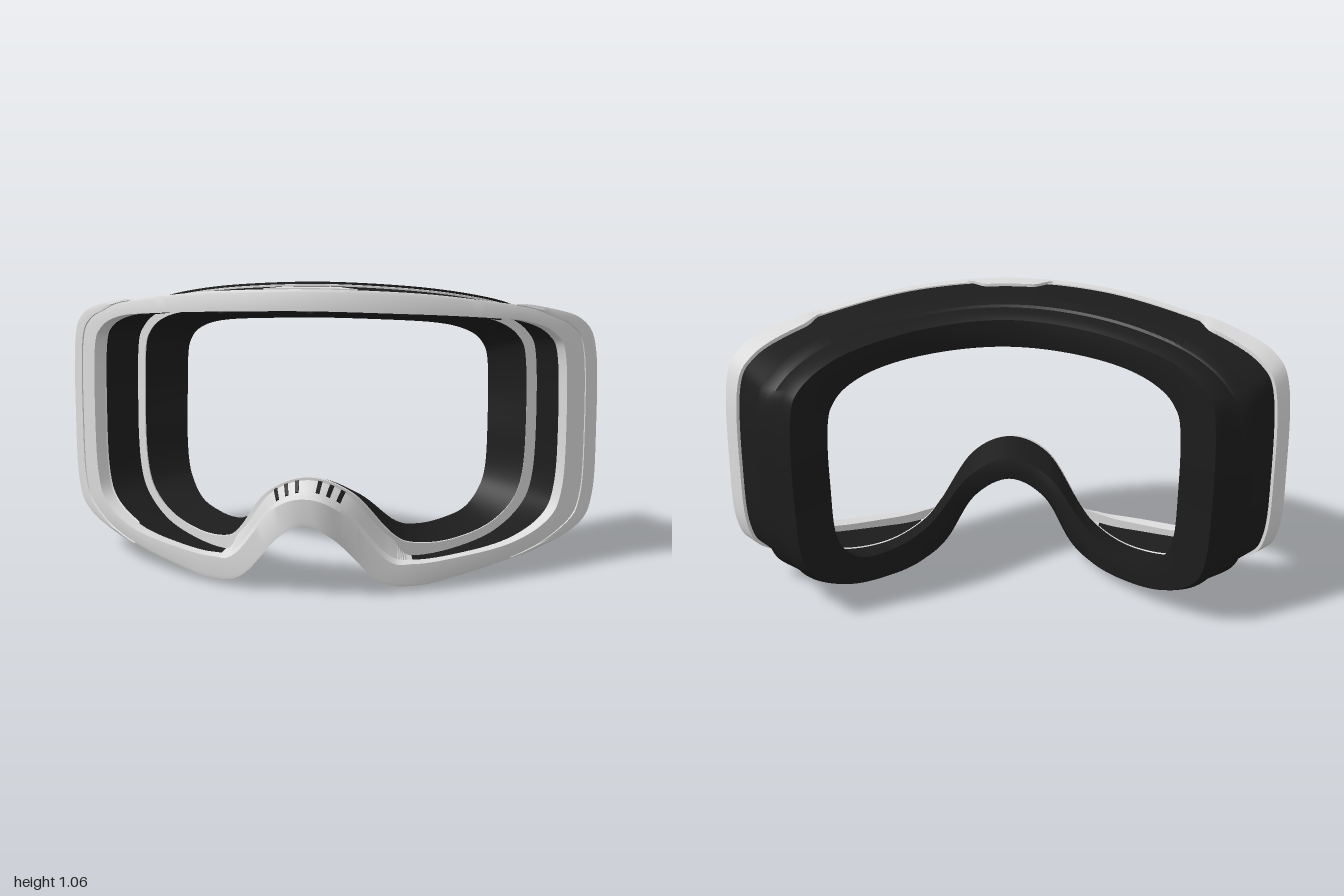
import * as THREE from 'three';
import { toCreasedNormals } from 'three/addons/utils/BufferGeometryUtils.js';

// Half outlines from top centre, down the +x side, to the nose centre
const FRONT_OUT = [[0, 1.052], [.35, 1.037], [.62, 1.0], [.8, .965], [.93, .912], [.982, .8], [.994, .5], [.987, .26],
  [.93, .155], [.74, .088], [.52, .042], [.37, .02], [.24, .05], [.095, .215], [0, .268]];
const FRONT_IN = [[0, .98], [.35, .968], [.6, .947], [.74, .925], [.835, .875], [.875, .785], [.885, .5], [.875, .3],
  [.83, .2], [.7, .135], [.5, .108], [.36, .1], [.265, .125], [.115, .31], [0, .36]];
const MID_OUT = [[0, 1.052], [.3, 1.036], [.53, 1.0], [.69, .95], [.79, .875], [.832, .78], [.842, .5], [.83, .27],
  [.78, .155], [.65, .055], [.48, .012], [.34, .006], [.24, .06], [.13, .22], [0, .28]];
const MID_IN = [[0, .967], [.3, .957], [.5, .935], [.63, .9], [.708, .84], [.738, .75], [.745, .5], [.735, .31],
  [.695, .205], [.6, .132], [.46, .105], [.34, .13], [.27, .19], [.15, .35], [0, .41]];
const BACK_OUT = [[0, 1.015], [.27, 1.0], [.47, .973], [.58, .942], [.665, .88], [.695, .785], [.702, .5], [.692, .27],
  [.65, .16], [.55, .08], [.42, .045], [.33, .045], [.25, .08], [.15, .22], [0, .29]];
const BACK_IN = [[0, .915], [.25, .905], [.42, .885], [.52, .85], [.573, .8], [.595, .72], [.6, .5], [.595, .32],
  [.57, .23], [.515, .165], [.43, .145], [.35, .15], [.275, .185], [.155, .31], [0, .372]];
const SEG = 28, NOSE = 14;

// Curved planes that the outlines lie on; each bulges forward at the nose
const FRONT = { c: .375, k: .53, n: .105, w: .145, p: 3 };
const MID = { c: .08, k: .6, n: .28, w: .33, p: 4 };
const BACK = { c: -.07, k: .83, n: .27, w: .33, p: 4 };

const mix = (a, b, t) => a.map((p, i) => [p[0] + (b[i][0] - p[0]) * t, p[1] + (b[i][1] - p[1]) * t]);

// A ring is a function of u (0..28) giving a point in space
function ring(half, plane, dz = 0, grow = 0) {
  const left = half.slice(1, -1).reverse().map(([x, y]) => [-x, y]);
  const pts = [...half, ...left].map(([x, y]) => new THREE.Vector3(x, y, 0));
  const curve = new THREE.CatmullRomCurve3(pts, true, 'catmullrom', .5);
  const at = u => curve.getPoint((((u % SEG) + SEG) % SEG) / SEG);
  return u => {
    const p = at(u), d = at(u + .02).sub(at(u - .02)).normalize();
    const low = 1 - THREE.MathUtils.smoothstep(p.y, .42, .65);
    const bump = plane.n * low / (1 + Math.pow(Math.abs(p.x) / plane.w, plane.p));
    const z = plane.c - plane.k * p.x * p.x + bump + dz;
    return new THREE.Vector3(p.x - d.y * grow, p.y + d.x * grow, z);
  };
}
const blend = (a, b, t) => u => a(u).lerp(b(u), t);
// Eases from ring a at both ends of a range to ring b inside it
const ease = (a, b, u0, u1, len) => u =>
  a(u).lerp(b(u), THREE.MathUtils.smoothstep(Math.min(u - u0, u1 - u), 0, len));

// Closed cross-section (outer front, outer back, inner back, inner front) swept around the outline
function loft(rings, u0 = 0, u1 = SEG, steps = 224) {
  const full = u1 - u0 === SEG, S = rings.length, cols = full ? steps : steps + 1;
  const pos = [], idx = [];
  for (let i = 0; i < cols; i++)
    for (const r of rings) pos.push(...r(u0 + (u1 - u0) * i / steps).toArray());
  for (let i = 0; i < steps; i++) {
    const j = (i + 1) % cols;
    for (let s = 0; s < S; s++) {
      const t = (s + 1) % S;
      const a = i * S + s, b = j * S + s, c = i * S + t, d = j * S + t;
      idx.push(a, b, c, b, d, c);
    }
  }
  if (!full) for (let s = 1; s < S - 1; s++) {
    const e = steps * S;
    idx.push(0, s, s + 1, e, e + s + 1, e + s);
  }
  const g = new THREE.BufferGeometry();
  g.setAttribute('position', new THREE.Float32BufferAttribute(pos, 3));
  g.setIndex(idx);
  return toCreasedNormals(g, .65);
}

export function createModel() {
  const model = new THREE.Group();
  const material = (name, color) => {
    const m = new THREE.MeshStandardMaterial({ color });
    m.name = name;
    return m;
  };
  const grey = material('light grey plastic', 0xdadada);
  const black = material('black rubber', 0x1c1c1c);
  const add = (name, geometry, mat) => {
    const mesh = new THREE.Mesh(geometry, mat);
    mesh.name = name;
    model.add(mesh);
    return mesh;
  };

  const frontOut = ring(FRONT_OUT, FRONT), frontIn = ring(FRONT_IN, FRONT);
  const frontHalf = ring(mix(FRONT_OUT, FRONT_IN, .45), FRONT);
  const midOut = ring(MID_OUT, MID, 0, -.01), midIn = ring(MID_IN, MID);

  // Lens frame, with a slightly bevelled outer edge
  add('frontFrame', loft([
    blend(frontOut, midOut, .02), blend(frontOut, midOut, .17),
    blend(frontIn, midIn, .2), frontIn, ring(mix(FRONT_OUT, FRONT_IN, .15), FRONT),
  ]), grey);

  // Raised wraps around the outer corners, fading into the frame at their ends
  const wrapOut = ring(FRONT_OUT, FRONT, -.004, .006);
  const wrapRear = ring(MID_OUT, MID, 0, .006);
  const wrap = (u0, u1) => [
    ease(frontOut, wrapOut, u0, u1, .25),
    ease(blend(frontOut, wrapRear, .15), blend(wrapOut, wrapRear, .36), u0, u1, .45),
    ease(blend(frontHalf, midIn, .12), blend(frontHalf, midIn, .36), u0, u1, .45),
    ease(ring(mix(FRONT_OUT, FRONT_IN, .05), FRONT), ring(mix(FRONT_OUT, FRONT_IN, .35), FRONT, .005), u0, u1, 1.2),
    ease(frontOut, ring(mix(FRONT_OUT, FRONT_IN, .1), FRONT, .005), u0, u1, .5),
  ];
  const mirrored = [SEG - 9.2, SEG - 2.35];
  add('leftCornerWrap', loft(wrap(2.35, 9.2), 2.35, 9.2, 70), grey);
  add('rightCornerWrap', loft(wrap(...mirrored), ...mirrored, 70), grey);

  // Small tab at the top centre
  const tabOut = ring(FRONT_OUT, FRONT, 0, .003), tabRear = ring(MID_OUT, MID, 0, .003);
  const tabLow = ring(FRONT_OUT, FRONT, 0, -.03);
  const tab = (a, b, t) => ease(blend(a, b, .14), blend(a, b, t), -.45, .45, .2);
  add('topTab', loft([
    blend(tabOut, tabRear, .1), tab(tabOut, tabRear, .35),
    tab(tabLow, midOut, .35), blend(tabLow, midOut, .1),
  ], -.45, .45, 18), grey);

  // Flexible body, left open at the nose
  const n0 = 11.0, n1 = SEG - n0;
  const bodyFront = ring(FRONT_OUT, FRONT, 0, -.006);
  const bodyInFront = blend(frontHalf, midIn, .16);
  const bodyInRear = ring(mix(MID_OUT, MID_IN, .62), MID);
  add('body', loft([
    blend(bodyFront, midOut, .14), midOut, bodyInRear, bodyInFront,
  ], n1, n0 + SEG, 176), black);

  // Nose bridge with a groove behind the frame, easing into the body at both ends
  const groove = blend(frontHalf, midIn, .25);
  add('noseBridge', loft([
    blend(bodyFront, midOut, .14), midOut,
    ease(bodyInRear, ring(MID_IN, MID, 0, .003), n0, n1, 1),
    ease(bodyInFront, groove, n0, n1, 1),
  ], n0, n1, 60), grey);

  // Vent slots on the nose bridge
  const ventBase = blend(groove, midIn, .45), ventEnd = blend(groove, midIn, .88);
  const lift = r => u => r(u).add(new THREE.Vector3(0, .004, .004));
  for (const side of [-1, 1])
    for (const offset of [.27, .54, .8]) {
      const u = NOSE + side * offset;
      add('noseVent', loft([ventBase, ventEnd, lift(ventEnd), lift(ventBase)], u - .045, u + .045, 3), black);
    }

  // Thin ring between body and face foam
  add('middleRing', loft([
    ring(MID_OUT, MID, .008, -.003), ring(MID_OUT, MID, -.008, -.003),
    ring(MID_IN, MID, -.008), ring(MID_IN, MID, .008),
  ]), grey);

  // Face foam, with a stepped outer wall and rounded back
  const foamOut = ring(MID_OUT, MID, -.006, .005);
  const backOut = ring(BACK_OUT, BACK);
  add('faceFoam', loft([
    foamOut, blend(foamOut, backOut, .32), blend(ring(MID_OUT, MID, -.006, -.006), backOut, .36),
    blend(ring(MID_OUT, MID, -.006, .01), ring(BACK_OUT, BACK, 0, .012), .8), backOut,
    ring(mix(BACK_OUT, BACK_IN, .5), BACK, -.004), ring(BACK_IN, BACK, .008),
    ring(MID_IN, MID, -.004),
  ]), black);

  // Struts inside the top, between frame and body
  for (const x of [-.6, -.3, 0, .3, .6]) {
    const strut = add('topStrut', new THREE.BoxGeometry(.02, .04, .12), black);
    strut.position.set(x, .988 - .09 * x * x, FRONT.c - FRONT.k * x * x - .1);
    strut.rotation.y = Math.atan(2 * FRONT.k * x);
  }
  return model;
}
